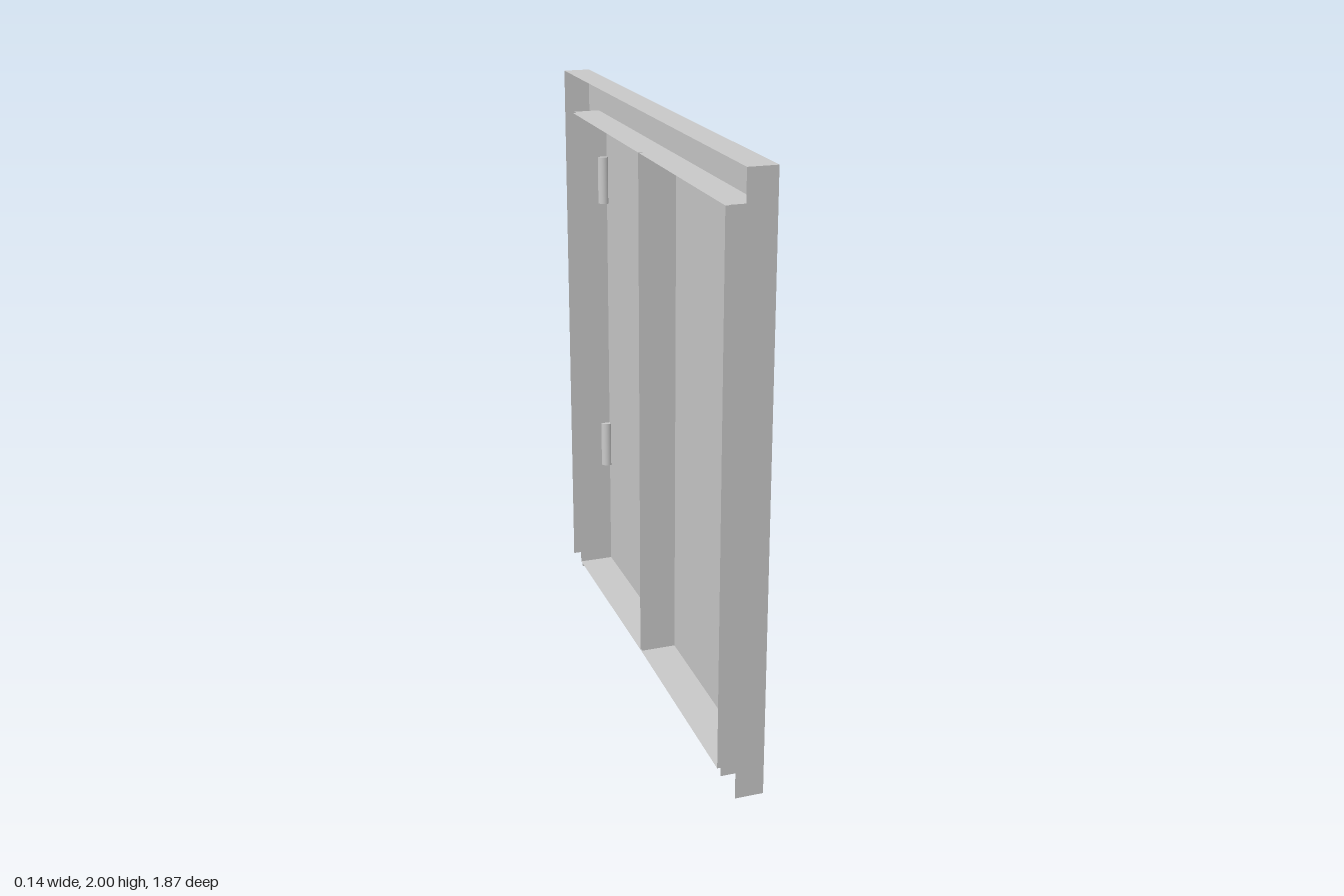
import * as THREE from 'three';

const metal = new THREE.MeshStandardMaterial({ color: 0xcccccc, side: THREE.DoubleSide, flatShading: true });
const smoothMetal = new THREE.MeshStandardMaterial({ color: 0xcccccc });

// Folded sheet: a flat face at depth xFront with edges folded back to xBack.
// Outline points are [z, y]; edges listed in openEdges get no fold.
function foldedSheet(name, outline, xFront, xBack, openEdges = []) {
  const group = new THREE.Group();
  group.name = name;
  const shape = new THREE.Shape(outline.map(([z, y]) => new THREE.Vector2(-z, y)));
  const face = new THREE.Mesh(new THREE.ShapeGeometry(shape).rotateY(Math.PI / 2), metal);
  face.position.x = xFront;
  face.name = name + 'Face';
  group.add(face);

  const pos = [];
  outline.forEach(([z0, y0], i) => {
    if (openEdges.includes(i)) return;
    const [z1, y1] = outline[(i + 1) % outline.length];
    const a = [xFront, y0, z0], b = [xFront, y1, z1];
    const c = [xBack, y1, z1], d = [xBack, y0, z0];
    pos.push(...a, ...b, ...c, ...a, ...c, ...d);
  });
  const geo = new THREE.BufferGeometry();
  geo.setAttribute('position', new THREE.Float32BufferAttribute(pos, 3));
  geo.computeVertexNormals();
  const folds = new THREE.Mesh(geo, metal);
  folds.name = name + 'Folds';
  group.add(folds);
  return group;
}

export function createModel() {
  const model = new THREE.Group();
  model.name = 'doubleDoor';

  // Frame: two jambs and a head, open at the back and at the feet
  const W = 0.935, H = 2, openW = 0.805, openH = 1.867;
  model.add(foldedSheet('frame', [
    [W, 0], [W, H], [-W, H], [-W, 0],
    [-openW, 0], [-openW, openH], [openW, openH], [openW, 0],
  ], 0.03, -0.065, [3, 7]));

  for (const s of [1, -1]) {
    const side = s > 0 ? 'front' : 'back';

    // Door leaf: shallow tray, bottom edge rising slightly to the centre
    model.add(foldedSheet(side + 'Door', [
      [s * 0.797, 0.026], [s * 0.797, 1.864], [s * 0.005, 1.864], [s * 0.005, 0.034],
    ], 0.055, -0.073));

    // Hinge barrels
    [0.533, 1.605].forEach((y, i) => {
      const hinge = new THREE.Mesh(new THREE.CylinderGeometry(0.025, 0.025, 0.178, 24), smoothMetal);
      hinge.position.set(0.045, y, s * 0.803);
      hinge.name = side + (i ? 'UpperHinge' : 'LowerHinge');
      model.add(hinge);
    });
  }
  return model;
}
